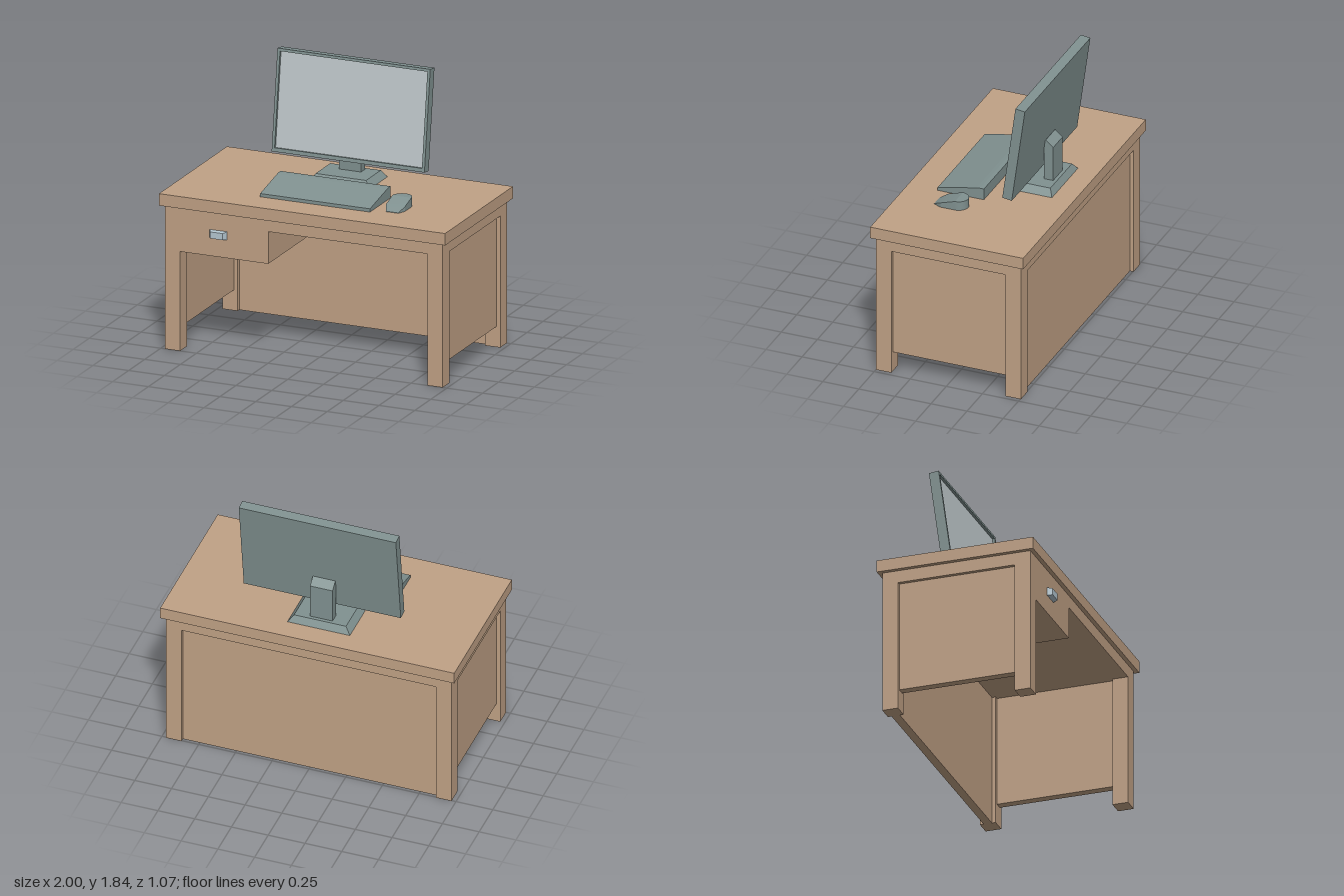
import * as THREE from 'three';
import { toCreasedNormals } from 'three/addons/utils/BufferGeometryUtils.js';

const material = (name, color) => {
  const m = new THREE.MeshStandardMaterial({ color });
  m.name = name;
  return m;
};

export function createModel() {
  const wood = material('wood', 0xc0a185);
  const casing = material('grey casing', 0x809190);
  const glass = material('pale screen', 0xbcc5c8);
  const metal = material('handle metal', 0xb4c6d0);

  const model = new THREE.Group();
  model.name = 'computerDesk';

  const add = (parent, name, geometry, mat) => {
    const mesh = new THREE.Mesh(geometry, mat);
    mesh.name = name;
    parent.add(mesh);
    return mesh;
  };
  // Box given by its minimum and maximum on each axis
  const block = (parent, name, mat, x0, x1, y0, y1, z0, z1) => {
    const g = new THREE.BoxGeometry(x1 - x0, y1 - y0, z1 - z0);
    g.translate((x0 + x1) / 2, (y0 + y1) / 2, (z0 + z1) / 2);
    return add(parent, name, g, mat);
  };
  // Box whose upper face is drawn in by insetX and insetZ
  const frustum = (w, h, d, insetX, insetZ) => {
    const g = new THREE.BoxGeometry(w, h, d).toNonIndexed();
    const p = g.attributes.position;
    for (let i = 0; i < p.count; i++) {
      if (p.getY(i) > 0) {
        p.setX(i, p.getX(i) - Math.sign(p.getX(i)) * insetX);
        p.setZ(i, p.getZ(i) - Math.sign(p.getZ(i)) * insetZ);
      }
    }
    g.computeVertexNormals();
    return g;
  };
  // Side profile of [z, y] points, extruded across x and centred on cx
  const profile = (points, width, cx) => {
    const shape = new THREE.Shape(points.map(([z, y]) => new THREE.Vector2(-z, y)));
    const g = new THREE.ExtrudeGeometry(shape, { depth: width, bevelEnabled: false });
    g.rotateY(Math.PI / 2);
    g.translate(cx - width / 2, 0, 0);
    return g;
  };

  // Desk
  const desk = new THREE.Group();
  desk.name = 'desk';
  model.add(desk);
  const zc = -0.0025, bx = 0.971, bz = 0.502, leg = 0.106;
  const apron = 0.883, under = 0.966, top = 1.046;
  block(desk, 'deskTop', wood, -1, 1, under, top, zc - 0.53, zc + 0.53);
  block(desk, 'apron', wood, -bx, bx, apron, under, zc - bz, zc + bz);
  for (const sx of [-1, 1]) {
    for (const sz of [-1, 1]) {
      const x = sx * (bx - leg / 2), z = zc + sz * (bz - leg / 2);
      block(desk, 'leg', wood, x - leg / 2, x + leg / 2, 0, apron, z - leg / 2, z + leg / 2);
    }
    const px = sx * (bx - leg / 2);
    block(desk, 'sidePanel', wood, px - 0.028, px + 0.028, 0.139, apron, zc - bz + leg, zc + bz - leg);
  }
  const backZ = zc - bz + leg / 2;
  block(desk, 'backPanel', wood, -bx + leg, bx - leg, 0, apron, backZ - 0.028, backZ + 0.028);
  block(desk, 'drawer', wood, -bx + leg, -0.248, 0.667, apron, backZ + 0.028, zc + bz);
  const handle = add(desk, 'drawerHandle', frustum(0.122, 0.034, 0.054, 0.016, 0.005), metal);
  handle.rotation.x = Math.PI / 2;
  handle.position.set(-0.597, 0.817, zc + bz + 0.016);

  // Monitor, tilted back
  const monitor = new THREE.Group();
  monitor.name = 'monitor';
  monitor.position.set(0, 1.507, -0.268);
  monitor.rotation.x = -0.136;
  model.add(monitor);
  const mw = 0.534, mh = 0.336, md = 0.033, recess = 0.02;
  block(monitor, 'monitorBack', casing, -mw, mw, -mh, mh, -md, md - recess);
  const rect = (T, x, y0, y1) => {
    const s = new T();
    s.moveTo(-x, y0);
    s.lineTo(x, y0);
    s.lineTo(x, y1);
    s.lineTo(-x, y1);
    s.closePath();
    return s;
  };
  const bezel = rect(THREE.Shape, mw, -mh, mh);
  bezel.holes.push(rect(THREE.Path, mw - 0.019, -mh + 0.025, mh - 0.018));
  const bezelGeo = new THREE.ExtrudeGeometry(bezel, { depth: recess, bevelEnabled: false });
  bezelGeo.translate(0, 0, md - recess);
  add(monitor, 'bezel', bezelGeo, casing);
  block(monitor, 'screen', glass, -mw + 0.019, mw - 0.019, -mh + 0.025, mh - 0.018,
    md - recess, md - recess + 0.003);

  // Monitor stand
  const base = add(model, 'standBase', frustum(0.425, 0.046, 0.282, 0.036, 0.026), casing);
  base.position.set(-0.024, top + 0.023, -0.246);
  add(model, 'standNeck', profile(
    [[-0.276, 1.08], [-0.276, 1.365], [-0.286, 1.375], [-0.338, 1.332], [-0.338, 1.08]],
    0.153, -0.024), casing);

  // Keyboard
  add(model, 'keyboard', profile(
    [[0.322, top], [0.322, 1.068], [0.055, 1.121], [0.03, 1.124], [0.002, 1.124], [0.002, top]],
    0.768, -0.001), casing);

  // Mouse, lofted from rectangular sections [z, half width, top height]
  const r = 0.066, sections = [];
  for (let i = 0; i <= 8; i++) {
    const a = (i / 8) * Math.PI / 2;
    sections.push([0.119 - r * Math.cos(a), Math.max(r * Math.sin(a), 0.001), 1.108]);
  }
  sections.push([0.219, r, 1.077], [0.272, 0.043, 1.049]);
  const cx = 0.515, pos = [], index = [];
  for (const [z, w, y] of sections) {
    pos.push(cx - w, top, z, cx + w, top, z, cx + w, y, z, cx - w, y, z);
  }
  const n = sections.length;
  for (let i = 0; i < n - 1; i++) {
    for (let j = 0; j < 4; j++) {
      const a = i * 4 + j, b = i * 4 + (j + 1) % 4;
      index.push(a, b, b + 4, a, b + 4, a + 4);
    }
  }
  const e = (n - 1) * 4;
  index.push(0, 2, 1, 0, 3, 2, e, e + 1, e + 2, e, e + 2, e + 3);
  // Sections run toward +z, so each ring is wound to face outward
  const mouse = new THREE.BufferGeometry();
  mouse.setAttribute('position', new THREE.Float32BufferAttribute(pos, 3));
  mouse.setIndex(index);
  add(model, 'mouse', toCreasedNormals(mouse, 0.25), casing);

  return model;
}
